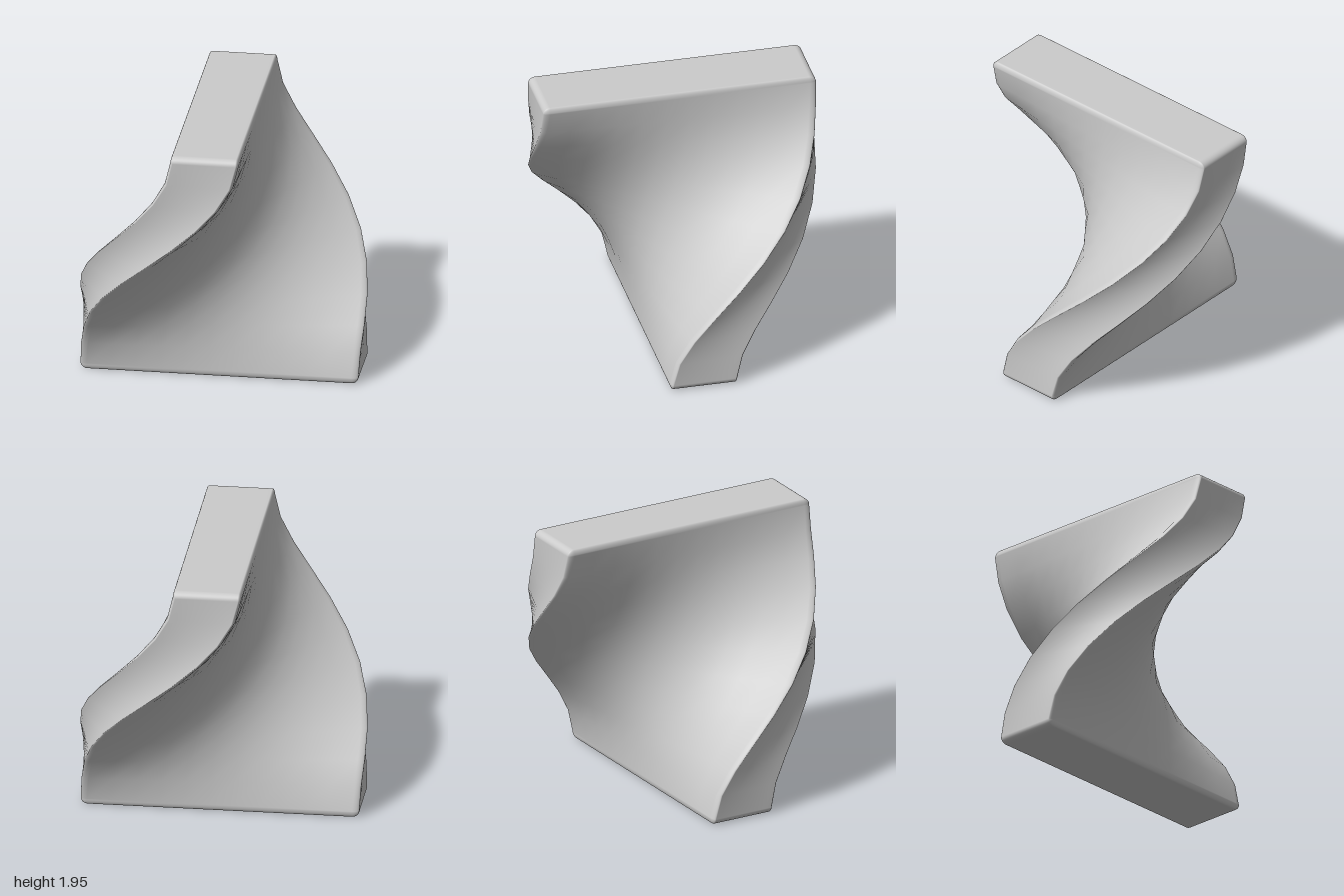
import * as THREE from 'three';
import { mergeVertices } from 'three/addons/utils/BufferGeometryUtils.js';

const BEVEL = 4;      // segments per rounded edge
const STRAIGHT = 11;  // segments between the rounded edges
const N = STRAIGHT + 2 * BEVEL;
const HALF = [0.975, 0.975, 0.24];    // half length, height and thickness
const RADIUS = [0.05, 0.045, 0.02];   // edge rounding along each axis
const TWIST = Math.PI / 2;

// Rounded slab: each grid point is a core position plus a rounded offset.
function roundedSlab() {
  let geo = new THREE.BoxGeometry(N, N, N, N, N, N);
  geo.deleteAttribute('uv');
  geo.deleteAttribute('normal');
  geo = mergeVertices(geo, 1e-3);
  const pos = geo.attributes.position;
  const offset = new THREE.Vector3();
  for (let v = 0; v < pos.count; v++) {
    const core = [];
    for (let a = 0; a < 3; a++) {
      const s = pos.getComponent(v, a);
      const c = THREE.MathUtils.clamp(s, -STRAIGHT / 2, STRAIGHT / 2);
      core[a] = (c / (STRAIGHT / 2)) * (HALF[a] - RADIUS[a]);
      offset.setComponent(a, Math.tan(((s - c) / BEVEL) * Math.PI / 4));
    }
    offset.normalize();
    for (let a = 0; a < 3; a++) {
      pos.setComponent(v, a, core[a] + offset.getComponent(a) * RADIUS[a]);
    }
  }
  return geo;
}

// Quarter turn about the vertical axis, easing in and out.
function twist(geo) {
  const pos = geo.attributes.position;
  const p = new THREE.Vector3();
  const up = new THREE.Vector3(0, 1, 0);
  for (let v = 0; v < pos.count; v++) {
    p.fromBufferAttribute(pos, v);
    const t = THREE.MathUtils.smoothstep(p.y, -HALF[1] + 0.02, HALF[1] - 0.02);
    p.applyAxisAngle(up, TWIST * t);
    pos.setXYZ(v, p.x, p.y + HALF[1], p.z);
  }
  geo.computeVertexNormals();
  return geo;
}

export function createModel() {
  const group = new THREE.Group();
  group.name = 'twistedBlock';
  const slab = new THREE.Mesh(
    twist(roundedSlab()),
    new THREE.MeshStandardMaterial({ color: 0xcccccc })
  );
  slab.name = 'twistedSlab';
  group.add(slab);
  return group;
}
